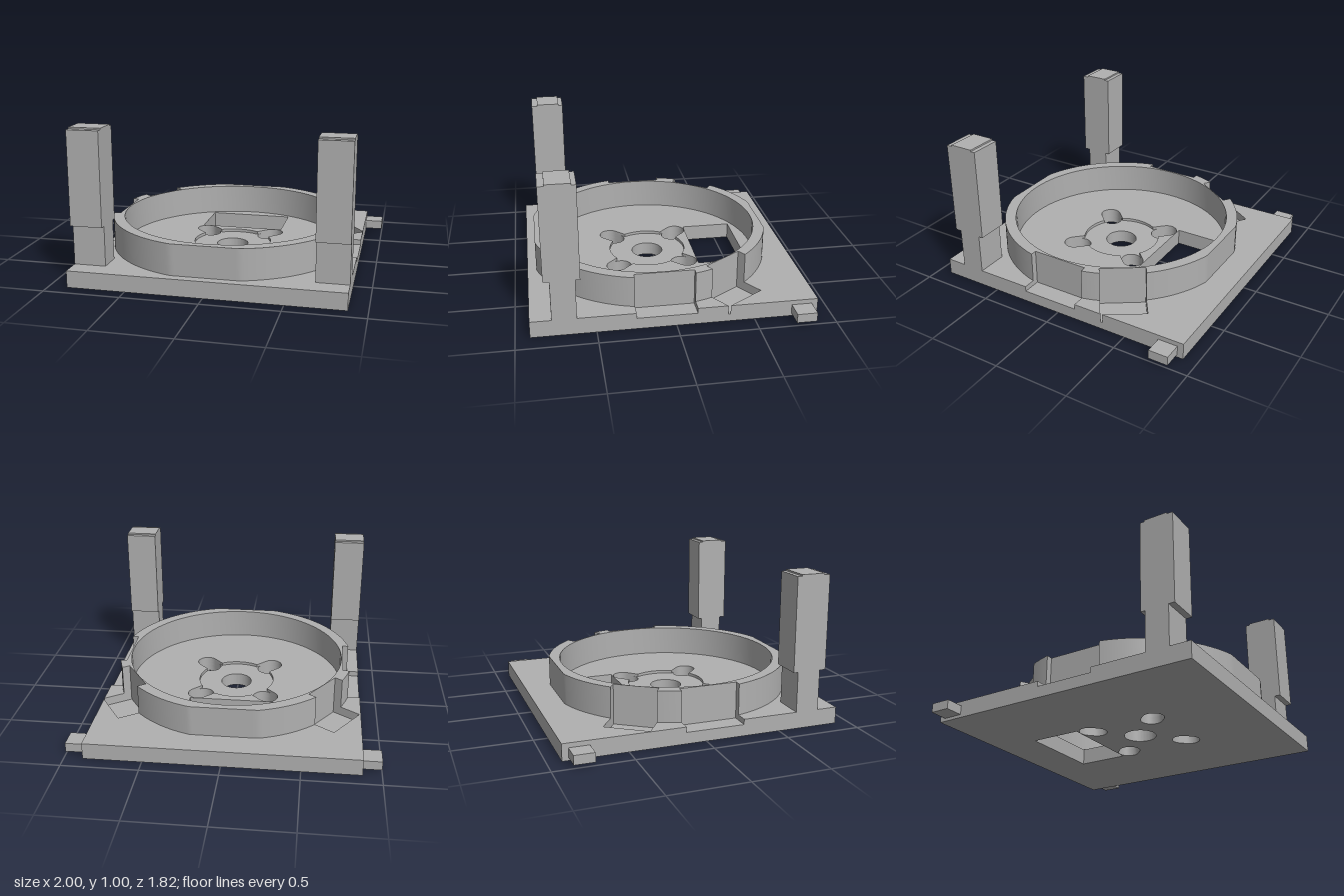
import * as THREE from 'three';
import { toCreasedNormals } from 'three/addons/utils/BufferGeometryUtils.js';

const CZ = 0.06;        // z of the ring centre
const R_OUT = 0.82, R_IN = 0.745, FLAT = 0.79;
const RAD = Math.PI / 180;
const V = (x, z) => new THREE.Vector2(x, z);

// Cut-outs around the ring: angle, inner distance, outer distance, half width, sideways shift
const sideA = { a: 0, d: 0.755, far: 1, h: 0.193, s: 0 };
const sideB = { a: 180, d: 0.755, far: 1, h: 0.193, s: 0 };
const slantB = { a: 214.8, d: 0.748, far: 0.957, h: 0.149, s: 0 };
const slantA = { a: 326.1, d: 0.748, far: 0.957, h: 0.148, s: 0.021 };
const notches = [sideA, sideB, slantB, slantA];

// Point at (radial u, sideways v) in a frame turned by a degrees about the ring centre
function turned(a, u, v) {
  const c = Math.cos(a * RAD), s = Math.sin(a * RAD);
  return V(u * c - v * s, CZ + u * s + v * c);
}

function arc(r, from, to, n) {
  const pts = [];
  for (let i = 0; i <= n; i++) pts.push(turned(from + (to - from) * i / n, r, 0));
  return pts;
}

const circle = r => arc(r, 0, 360, 96).slice(0, -1);

// Shapes lie in (x, z); they are extruded down from the top height
function slab(outline, holes, bottom, top) {
  const shape = new THREE.Shape(outline);
  shape.holes = holes.map(h => new THREE.Path(h));
  const g = new THREE.ExtrudeGeometry(shape, { depth: top - bottom, bevelEnabled: false });
  g.rotateX(Math.PI / 2).translate(0, top, 0);
  return toCreasedNormals(g, 25 * RAD);
}

// Mounting slot: a short radial capsule
function slot(a) {
  const pts = [];
  for (let i = 0; i <= 16; i++) {
    const t = (-90 + i * 180 / 16) * RAD;
    pts.push(turned(a, 0.344 + 0.07 * Math.cos(t), 0.07 * Math.sin(t)));
  }
  for (let i = 0; i <= 16; i++) {
    const t = (90 + i * 180 / 16) * RAD;
    pts.push(turned(a, 0.297 + 0.07 * Math.cos(t), 0.07 * Math.sin(t)));
  }
  return pts;
}

// Round central recess joined with the outer ends of the four slots
function recess() {
  const r = 0.265, half = Math.asin(0.07 / r) / RAD, pts = [];
  for (let a = 45; a < 360; a += 90) {
    pts.push(...slot(a).slice(0, 17), ...arc(r, a + half, a + 90 - half, 20));
  }
  return pts;
}

// Ring outline with flattened front and back and the four cut-outs
function ringOutline() {
  const pts = [];
  notches.forEach((n, i) => {
    const next = notches[(i + 1) % notches.length];
    const lo = n.s - n.h, hi = n.s + n.h;
    pts.push(turned(n.a, n.d, lo), turned(n.a, n.d, hi));
    const from = n.a + Math.asin(hi / R_OUT) / RAD;
    let to = next.a + Math.asin((next.s - next.h) / R_OUT) / RAD;
    if (to < from) to += 360;
    const steps = Math.max(4, Math.round((to - from) / 1.5));
    for (const p of arc(R_OUT, from, to, steps)) {
      p.y = CZ + THREE.MathUtils.clamp(p.y - CZ, -FLAT, FLAT);
      pts.push(p);
    }
  });
  return pts;
}

// Plate outline, optionally with the slanted and side pockets cut into its edges
function plateOutline(slanted, sides) {
  const X = 0.88, Z = 0.91, z0 = CZ - 0.193, z1 = CZ + 0.193;
  const pts = [V(-X, -Z), V(X, -Z)];
  if (slanted) {
    const n = slantA, lo = n.s - n.h, hi = n.s + n.h;
    pts.push(V(X, -0.342), turned(n.a, n.far, lo), turned(n.a, n.d, lo), turned(n.a, n.d, hi), V(X, -0.328));
  }
  if (sides) pts.push(V(X, z0), V(0.755, z0), V(0.755, z1), V(X, z1));
  pts.push(V(X, Z), V(-X, Z));
  if (sides) pts.push(V(-X, z1), V(-0.755, z1), V(-0.755, z0), V(-X, z0));
  return pts;
}

export function createModel() {
  const model = new THREE.Group();
  model.name = 'mountingBase';
  const grey = new THREE.MeshStandardMaterial({ color: 0xb0b0b0 });
  grey.name = 'grey';

  const add = (name, geometry, parent = model) => {
    const mesh = new THREE.Mesh(geometry, grey);
    mesh.name = name;
    parent.add(mesh);
  };
  const box = (name, x0, x1, y0, y1, z0, z1, parent) => {
    const g = new THREE.BoxGeometry(x1 - x0, y1 - y0, z1 - z0);
    g.translate((x0 + x1) / 2, (y0 + y1) / 2, (z0 + z1) / 2);
    add(name, g, parent);
  };

  // Base plate in layers, one for each pocket depth
  const plate = new THREE.Group();
  plate.name = 'basePlate';
  model.add(plate);
  const windowHole = [V(-0.29, -0.6), V(0.29, -0.6), V(0.29, -0.257), V(-0.29, -0.257)];
  const through = [windowHole, circle(0.107), slot(45), slot(135), slot(225), slot(315)];
  const b = slantB;
  const pocket = [turned(b.a, b.d, -b.h), turned(b.a, b.far, -b.h), turned(b.a, b.far, b.h), turned(b.a, b.d, b.h)];
  add('plateBottom', slab(plateOutline(false, false), through, 0, 0.05), plate);
  add('plateSlantedPockets', slab(plateOutline(true, false), [...through, pocket], 0.05, 0.075), plate);
  add('plateSidePockets', slab(plateOutline(true, true), [...through, pocket], 0.075, 0.09), plate);
  add('plateTop', slab(plateOutline(true, true), [windowHole, recess(), pocket], 0.09, 0.11), plate);

  // Raised ring wall
  add('ringWall', slab(ringOutline(), [circle(R_IN)], 0.11, 0.315));

  // Front posts and rear side tabs, mirrored
  for (const side of [-1, 1]) {
    const name = side > 0 ? 'left' : 'right';
    const span = (a, c) => (side > 0 ? [a, c] : [-c, -a]);
    const post = new THREE.Group();
    post.name = name + 'Post';
    model.add(post);
    box('postFoot', ...span(0.67, 0.88), 0.11, 0.375, 0.62, 0.775, post);
    box('postBlock', ...span(0.67, 0.88), 0.375, 0.99, 0.59, 0.815, post);
    box('postCap', ...span(0.67, 0.88), 0.99, 1.0, 0.62, 0.775, post);
    box(name + 'Tab', ...span(0.88, 1.0), 0.02, 0.08, -0.87, -0.74);
  }
  return model;
}
